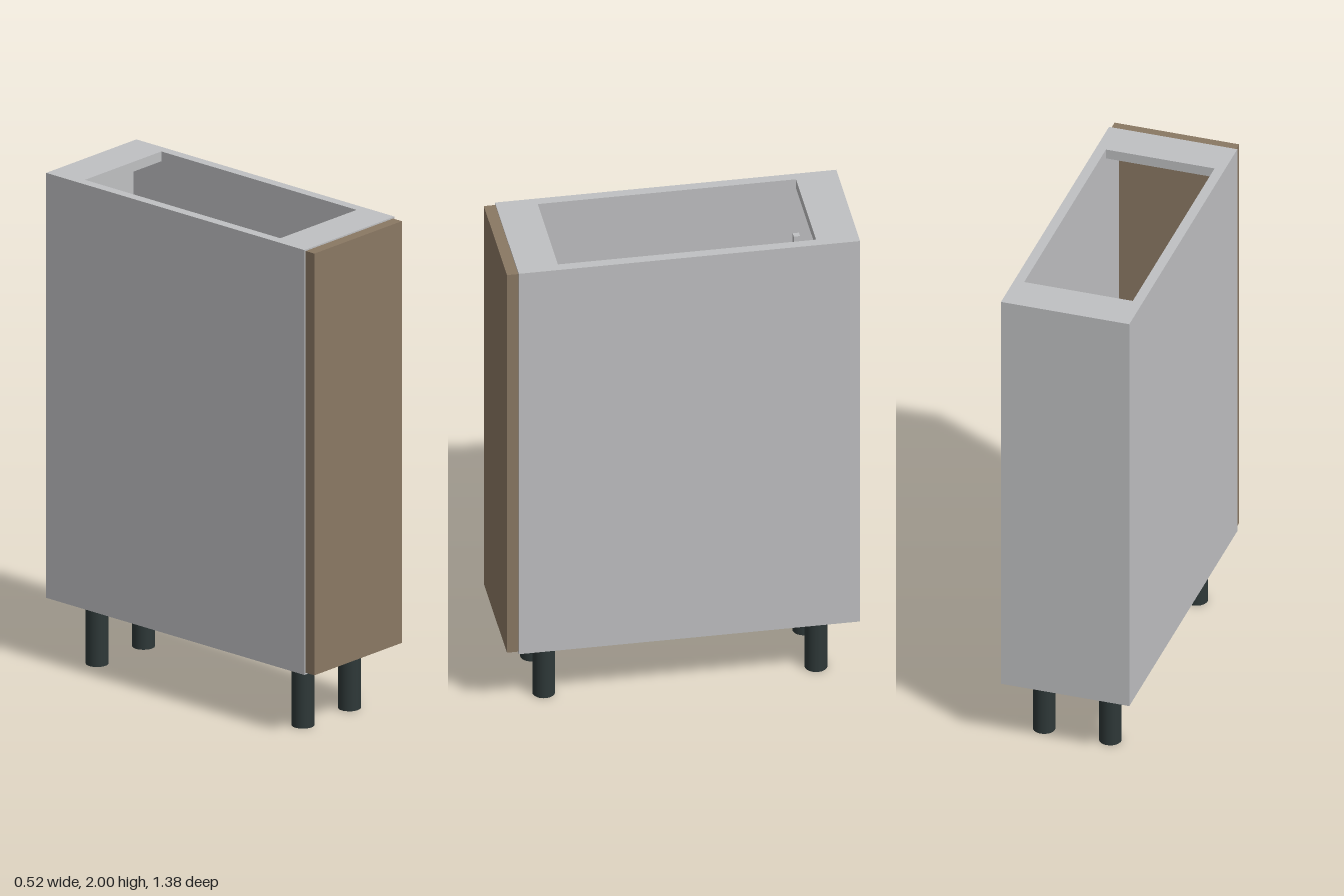
import * as THREE from 'three';

const mat = (name, color) => {
  const m = new THREE.MeshStandardMaterial({ color });
  m.name = name;
  return m;
};

export function createModel() {
  const grey = mat('carcass grey', 0xbfc0c2);
  const wood = mat('door brown', 0x8a7863);
  const dark = mat('leg dark green grey', 0x2e3838);
  const group = new THREE.Group();
  group.name = 'cabinet';

  // box given by its minimum and maximum on each axis
  const box = (name, material, x0, x1, y0, y1, z0, z1) => {
    const mesh = new THREE.Mesh(new THREE.BoxGeometry(x1 - x0, y1 - y0, z1 - z0), material);
    mesh.position.set((x0 + x1) / 2, (y0 + y1) / 2, (z0 + z1) / 2);
    mesh.name = name;
    group.add(mesh);
  };
  // the same box on both sides, measured outwards from the middle
  const pair = (name, material, x0, x1, ...rest) => {
    box(name + 'Left', material, x0, x1, ...rest);
    box(name + 'Right', material, -x1, -x0, ...rest);
  };

  const base = 0.265, top = 2, back = -0.69, front = 0.645, inner = 0.22;

  // carcass panels
  pair('sidePanel', grey, inner, 0.26, base, top, back, front);
  box('bottomPanel', grey, -inner, inner, base, base + 0.04, back, front);
  box('backPanel', grey, -inner, inner, base + 0.04, top - 0.04, back, back + 0.02);

  // top rails
  box('backRail', grey, -inner, inner, top - 0.04, top, back, -0.525);
  box('frontRail', grey, -inner, inner, top - 0.04, top, 0.485, front);

  // door
  box('door', wood, -0.252, 0.252, 0.272, 1.994, front, 0.69);

  // pull-out drawer with runners and rear posts
  pair('runner', grey, 0.198, inner, 0.34, 0.42, -0.55, 0.63);
  pair('drawerRunner', grey, 0.18, 0.198, 0.35, 0.41, -0.55, 0.63);
  pair('drawerSide', grey, 0.17, 0.18, 0.35, 0.65, -0.53, front);
  box('drawerFloor', grey, -0.17, 0.17, 0.35, 0.38, -0.53, front);
  box('drawerBack', grey, -0.17, 0.17, 0.38, 0.65, -0.54, -0.53);
  pair('rearPost', grey, 0.157, 0.182, 0.38, 1.78, -0.53, -0.505);

  // legs
  for (const x of [-0.134, 0.134]) {
    for (const z of [-0.54, 0.525]) {
      const leg = new THREE.Mesh(new THREE.CylinderGeometry(0.044, 0.044, base, 32), dark);
      leg.position.set(x, base / 2, z);
      leg.name = 'leg';
      group.add(leg);
    }
  }
  return group;
}
